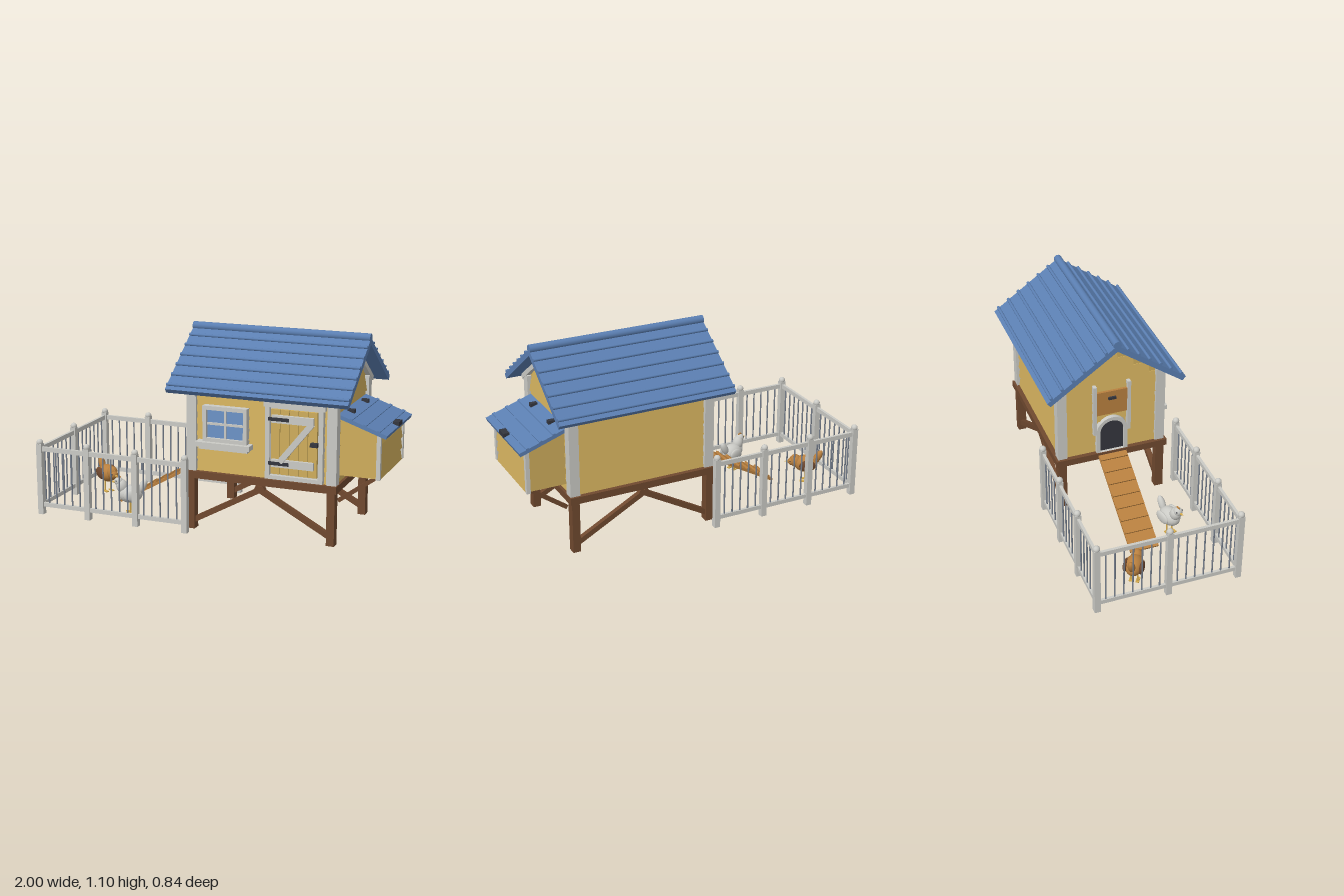
import * as THREE from 'three';

const mat = (name, color, extra = {}) => Object.assign(new THREE.MeshStandardMaterial({ color, ...extra }), { name });
const M = {
  yellow: mat('yellow siding', 0xd0ae5c),
  blue: mat('blue roof', 0x5b7fb2),
  white: mat('off white trim', 0xcbcbc6),
  brown: mat('dark brown timber', 0x70492f),
  tan: mat('tan wood', 0xb9803f),
  iron: mat('dark iron', 0x34363e),
  bar: mat('grey bars', 0x78818f),
  glass: mat('window glass', 0x6d94c8),
  gold: mat('bird legs', 0xd8ad4c),
};

function add(parent, name, geo, m, x = 0, y = 0, z = 0) {
  const mesh = new THREE.Mesh(geo, m);
  mesh.name = name;
  mesh.position.set(x, y, z);
  parent.add(mesh);
  return mesh;
}
// Box given by its min and max on each axis
const box = (p, name, m, x0, x1, y0, y1, z0, z1) =>
  add(p, name, new THREE.BoxGeometry(x1 - x0, y1 - y0, z1 - z0), m, (x0 + x1) / 2, (y0 + y1) / 2, (z0 + z1) / 2);
// Beam between two points, w wide and h high
function beam(p, name, m, a, b, w, h) {
  const A = new THREE.Vector3(...a), B = new THREE.Vector3(...b);
  const mesh = add(p, name, new THREE.BoxGeometry(w, h, A.distanceTo(B)), m);
  mesh.position.copy(A).add(B).multiplyScalar(0.5);
  mesh.lookAt(B);
  return mesh;
}
function group(parent, name) {
  const g = new THREE.Group();
  g.name = name;
  parent.add(g);
  return g;
}
const shape = pts => new THREE.Shape(pts.map(q => new THREE.Vector2(...q)));
const extrude = (s, depth) => new THREE.ExtrudeGeometry(s, { depth, bevelEnabled: false, curveSegments: 16 });
// Outline in z and y (symmetric), extruded along x
const alongX = (p, name, pts, m, x0, x1) => add(p, name, extrude(shape(pts), x1 - x0).rotateY(Math.PI / 2), m, x0);
// Lap board, thick at its lower edge, facing +z
function lapBoard(p, len, h, x, y, z, turn) {
  const g = extrude(shape([[0, 0], [0.014, 0], [0.003, h], [0, h]]), len).rotateY(-Math.PI / 2).translate(len / 2, 0, 0);
  add(p, 'lapBoard', g, M.yellow, x, y, z).rotation.y = turn;
}

const CX = 0.3175, SLOPE = 0.7;

function buildHouse(root) {
  const g = group(root, 'house');
  alongX(g, 'walls', [[-0.29, 0.335], [0.29, 0.335], [0.29, 0.837], [0, 1.04], [-0.29, 0.837]], M.yellow, -0.085, 0.72);
  const step = 0.066;
  for (let k = 0; k < 10; k++) {
    const y = 0.335 + k * step;
    const w = 2 * Math.min(0.27, (1.02 - y - step) / SLOPE);
    if (k < 7) for (const s of [1, -1]) lapBoard(g, 0.76, step, CX, y, s * 0.29, s > 0 ? 0 : Math.PI);
    lapBoard(g, w, step, 0.72, y, 0, Math.PI / 2);
    lapBoard(g, w, step, -0.085, y, 0, -Math.PI / 2);
  }
  for (const x of [-0.0825, 0.7175]) for (const z of [-0.29, 0.29])
    box(g, 'cornerBoard', M.white, x - 0.0275, x + 0.0275, 0.335, 0.815, z - 0.0275, z + 0.0275);
  // Gable trim under the roof
  const rake = [[-0.345, 0.8], [0, 1.042], [0.345, 0.8], [0.335, 0.775], [0, 1.008], [-0.335, 0.775]].reverse();
  alongX(g, 'gableTrim', rake, M.white, 0.715, 0.748);
  alongX(g, 'gableTrim', rake, M.white, -0.113, -0.08);
  // Roof slab, battens and ridge
  const roof = [[-0.4, 0.797], [-0.381, 0.774], [0, 1.042], [0.381, 0.774], [0.4, 0.797], [0, 1.08]];
  alongX(g, 'roof', roof, M.blue, -0.2, 0.825);
  const rod = r => new THREE.CylinderGeometry(r, r, 1.025, 14).rotateZ(Math.PI / 2);
  add(g, 'roofRidge', rod(0.023), M.blue, 0.3125, 1.08, 0);
  for (const s of [1, -1]) for (let i = 1; i <= 6; i++) {
    const z = i * 0.0625;
    add(g, 'roofBatten', rod(0.009), M.blue, 0.3125, 1.08 - z * SLOPE + 0.003, s * z);
  }
}

function buildBase(root) {
  const g = group(root, 'base');
  box(g, 'floorFrame', M.brown, -0.125, 0.75, 0.295, 0.335, -0.33, 0.33);
  for (const z of [-0.293, 0.293]) {
    for (const x of [-0.088, 0.717]) box(g, 'leg', M.brown, x - 0.022, x + 0.022, 0, 0.3, z - 0.025, z + 0.025);
    beam(g, 'legBrace', M.brown, [-0.08, 0.045, z], [0.335, 0.275, z], 0.03, 0.03);
    beam(g, 'legBrace', M.brown, [0.71, 0.045, z], [0.285, 0.275, z], 0.028, 0.03);
  }
}

function buildFront(root) {
  const w = group(root, 'window');
  box(w, 'windowPane', M.glass, 0, 0.235, 0.52, 0.7, 0.3, 0.316);
  for (const x of [-0.01, 0.225]) box(w, 'windowFrame', M.white, x, x + 0.022, 0.51, 0.71, 0.29, 0.335);
  for (const y of [0.51, 0.688]) box(w, 'windowFrame', M.white, -0.01, 0.247, y, y + 0.022, 0.29, 0.334);
  box(w, 'windowBar', M.white, 0.112, 0.125, 0.52, 0.7, 0.3, 0.325);
  box(w, 'windowBar', M.white, 0, 0.235, 0.604, 0.617, 0.3, 0.324);
  box(w, 'windowSill', M.white, -0.045, 0.27, 0.485, 0.512, 0.29, 0.36);
  box(w, 'sillApron', M.white, -0.03, 0.255, 0.47, 0.487, 0.29, 0.345);

  const d = group(root, 'door');
  for (const x of [0.35, 0.648]) box(d, 'doorFrame', M.white, x, x + 0.025, 0.345, 0.74, 0.29, 0.33);
  box(d, 'doorFrame', M.white, 0.34, 0.683, 0.735, 0.763, 0.29, 0.332);
  box(d, 'doorFrame', M.white, 0.35, 0.673, 0.34, 0.362, 0.29, 0.33);
  box(d, 'doorBack', M.white, 0.37, 0.655, 0.355, 0.74, 0.29, 0.31);
  for (let i = 0; i < 5; i++) box(d, 'doorPlank', M.yellow, 0.383 + i * 0.052, 0.432 + i * 0.052, 0.37, 0.725, 0.3, 0.328);
  for (const y of [0.413, 0.655]) {
    box(d, 'doorBatten', M.white, 0.39, 0.625, y, y + 0.042, 0.32, 0.345);
    box(d, 'hingeStrap', M.iron, 0.375, 0.49, y + 0.012, y + 0.03, 0.34, 0.351);
  }
  beam(d, 'doorDiagonal', M.white, [0.44, 0.445, 0.338], [0.615, 0.665, 0.338], 0.03, 0.032);
  box(d, 'doorLatch', M.iron, 0.61, 0.65, 0.545, 0.565, 0.325, 0.358);
}

function buildHenDoor(root) {
  const g = group(root, 'henDoor');
  const arch = (r, top) => {
    const s = new THREE.Shape();
    s.moveTo(-r, 0);
    s.lineTo(r, 0);
    s.lineTo(r, top);
    s.absarc(0, top, r, 0, Math.PI);
    s.lineTo(-r, 0);
    return s;
  };
  const frame = arch(0.092, 0.135);
  frame.holes.push(arch(0.07, 0.135));
  add(g, 'archFrame', extrude(frame, 0.035).rotateY(-Math.PI / 2), M.white, -0.085, 0.335, 0);
  add(g, 'archOpening', extrude(arch(0.072, 0.135), 0.018).rotateY(-Math.PI / 2), M.iron, -0.085, 0.335, 0);
  for (const z of [-0.1, 0.1]) box(g, 'slideRail', M.white, -0.12, -0.085, 0.46, 0.78, z - 0.01, z + 0.01);
  box(g, 'slidingHatch', M.tan, -0.113, -0.085, 0.585, 0.735, -0.092, 0.092);
  box(g, 'hatchHandle', M.iron, -0.124, -0.11, 0.685, 0.7, -0.022, 0.022);
  // Ramp with cleats
  const a = [-0.64, 0.022], b = [-0.115, 0.318];
  beam(g, 'ramp', M.tan, [...a, 0], [...b, 0], 0.166, 0.014);
  for (let i = 0; i < 8; i++) {
    const t = 0.06 + i * 0.125;
    const c = box(g, 'rampCleat', M.tan, -0.007, 0.007, -0.006, 0.006, -0.08, 0.08);
    c.position.set(a[0] + t * (b[0] - a[0]) - 0.005, a[1] + t * (b[1] - a[1]) + 0.011, 0);
    c.rotation.z = Math.atan2(b[1] - a[1], b[0] - a[0]);
  }
}

function buildNestBox(root) {
  const g = group(root, 'nestBox');
  add(g, 'nestBody', extrude(shape([[0.72, 0.37], [0.945, 0.37], [0.945, 0.615], [0.72, 0.692]]), 0.44), M.yellow, 0, 0, -0.22);
  for (let k = 0; k < 4; k++) lapBoard(g, 0.43, k < 3 ? 0.064 : 0.045, 0.944, 0.37 + k * 0.064, 0, Math.PI / 2);
  const lid = group(g, 'nestLid');
  add(lid, 'lidPanel', extrude(shape([[0.73, 0.69], [0.99, 0.6], [0.997, 0.62], [0.73, 0.712]]), 0.514), M.blue, 0, 0, -0.257);
  for (const x of [0.8, 0.875, 0.95]) {
    const b = box(lid, 'lidBatten', M.blue, -0.008, 0.008, -0.005, 0.006, -0.257, 0.257);
    b.position.set(x, 0.712 - (x - 0.73) * 0.345, 0);
    b.rotation.z = -0.333;
  }
  box(lid, 'lidHandle', M.iron, 0.965, 1, 0.618, 0.642, -0.033, 0.033);
  for (const s of [1, -1]) {
    box(lid, 'lidHinge', M.iron, 0.745, 0.785, 0.695, 0.715, s * 0.128 - 0.013, s * 0.128 + 0.013);
    box(g, 'nestTrim', M.white, 0.938, 0.96, 0.37, 0.615, s * 0.23 - 0.012, s * 0.23 + 0.012);
    beam(g, 'nestBrace', M.brown, [0.725, 0.225, s * 0.205], [0.925, 0.37, s * 0.205], 0.018, 0.022);
  }
}

function buildFence(root) {
  const g = group(root, 'fence');
  const ball = new THREE.SphereGeometry(0.019, 14, 10);
  const rod = new THREE.CylinderGeometry(0.0045, 0.0045, 0.32, 8);
  const post = (x, z) => {
    box(g, 'fencePost', M.white, x - 0.0165, x + 0.0165, 0, 0.415, z - 0.0165, z + 0.0165);
    add(g, 'postCap', ball, M.white, x, 0.422, z);
  };
  const bay = (x0, z0, x1, z1, n) => {
    beam(g, 'topRail', M.white, [x0, 0.385, z0], [x1, 0.385, z1], 0.016, 0.026);
    beam(g, 'bottomRail', M.white, [x0, 0.057, z0], [x1, 0.057, z1], 0.016, 0.024);
    for (let i = 1; i <= n; i++) {
      const t = i / (n + 1);
      add(g, 'fenceBar', rod, M.bar, x0 + t * (x1 - x0), 0.22, z0 + t * (z1 - z0));
    }
  };
  const X = [-0.983, -0.685, -0.387, -0.088];
  for (const z of [-0.4, 0.4]) {
    X.forEach(x => post(x, z));
    for (let i = 0; i < 3; i++) bay(X[i], z, X[i + 1], z, 5);
    bay(X[0], 0, X[0], z, 7);
  }
  post(X[0], 0);
}

// Hen facing +x, with its head at the given forward and height
function buildHen(root, name, m, wing, x, z, turn, hx, hy) {
  const g = group(root, name);
  const blob = (n, mm, px, py, pz, rx, ry, rz, tilt = 0) => {
    const b = add(g, n, new THREE.SphereGeometry(1, 18, 12), mm, px, py, pz);
    b.scale.set(rx, ry, rz);
    b.rotation.z = tilt;
  };
  blob('body', m, 0, 0.112, 0, 0.07, 0.052, 0.05);
  blob('neck', m, hx * 0.72, (hy + 0.13) / 2, 0, 0.034, 0.042, 0.032, -0.3);
  blob('head', m, hx, hy, 0, 0.026, 0.025, 0.024);
  blob('comb', M.tan, hx, hy + 0.024, 0, 0.014, 0.009, 0.005);
  blob('tail', m, -0.068, 0.155, 0, 0.022, 0.05, 0.02, 0.5);
  const beak = add(g, 'beak', new THREE.ConeGeometry(0.009, 0.026, 8), M.gold, hx + 0.034, hy - 0.003, 0);
  beak.rotation.z = -Math.PI / 2;
  for (const s of [1, -1]) {
    blob('wing', wing, -0.012, 0.115, s * 0.044, 0.048, 0.034, 0.014, -0.2);
    blob('eye', M.iron, hx + 0.012, hy + 0.006, s * 0.02, 0.004, 0.004, 0.004);
    add(g, 'shank', new THREE.CylinderGeometry(0.005, 0.005, 0.07, 8), M.gold, 0, 0.038, s * 0.019);
    box(g, 'foot', M.gold, -0.012, 0.03, 0, 0.006, s * 0.019 - 0.009, s * 0.019 + 0.009);
  }
  g.position.set(x, 0, z);
  g.rotation.y = turn;
}

export function createModel() {
  const root = new THREE.Group();
  root.name = 'henHouse';
  [buildHouse, buildBase, buildFront, buildHenDoor, buildNestBox, buildFence].forEach(f => f(root));
  buildHen(root, 'whiteHen', M.white, M.white, -0.52, 0.195, Math.PI + 0.33, 0.066, 0.186);
  buildHen(root, 'brownHen', M.tan, M.brown, -0.835, -0.135, -0.6, 0.08, 0.12);
  return root;
}
